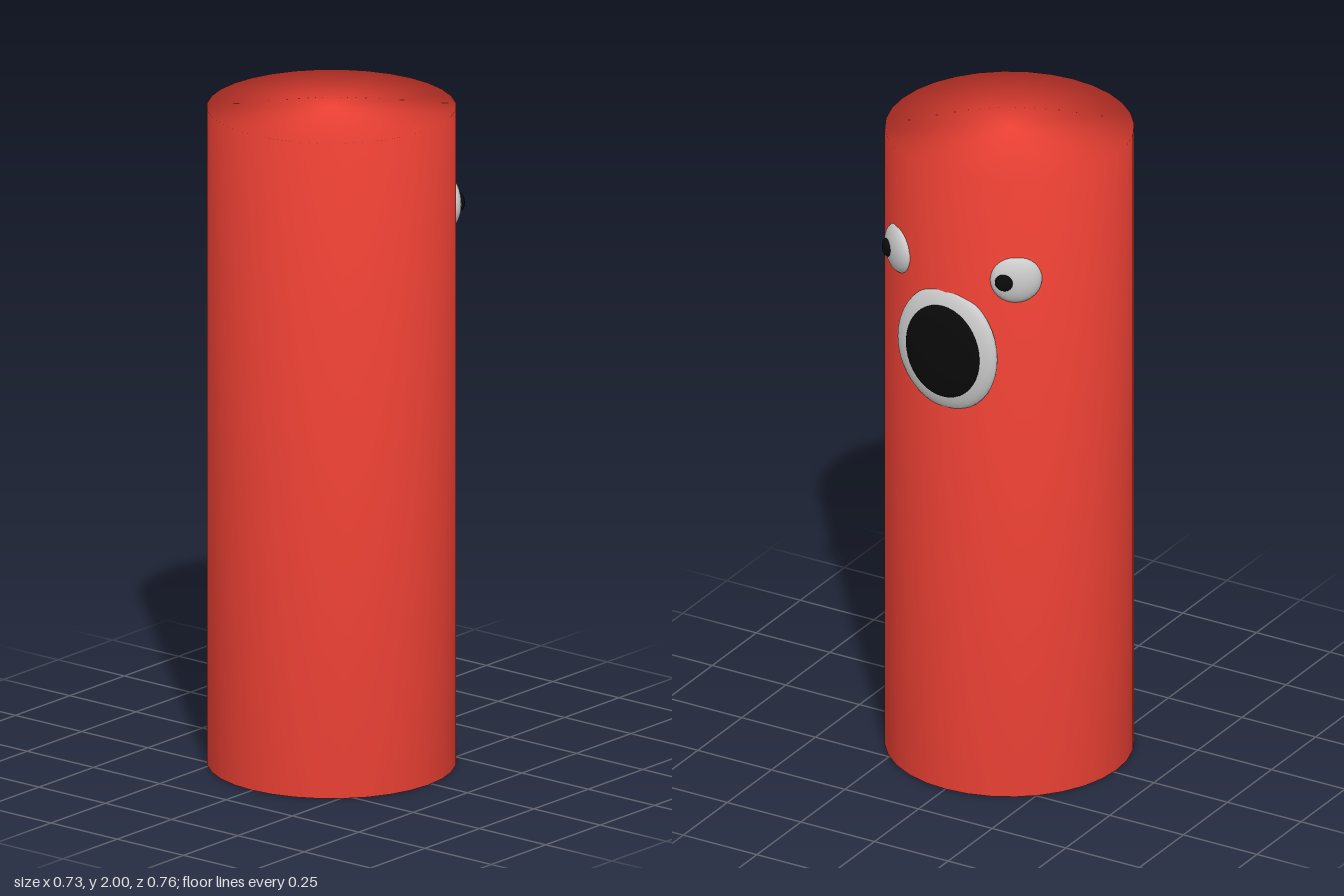
import * as THREE from 'three';
import { mergeVertices } from 'three/addons/utils/BufferGeometryUtils.js';

const RED = 0xf44336, WHITE = 0xcccccc, BLACK = 0x0a0a0a;
const AXIS_Z = 0.016; // the body axis sits slightly forward of the centre
const deg = THREE.MathUtils.degToRad;

function part(name, geometry, color) {
  const mesh = new THREE.Mesh(geometry, new THREE.MeshStandardMaterial({ color }));
  mesh.name = name;
  return mesh;
}

// Flattened ball on the back of the body. Angle is measured from -z towards +x,
// radius from the body axis; facing is the direction its flat side looks.
function disc(name, color, angle, radius, y, size, facing = angle) {
  const mesh = part(name, new THREE.SphereGeometry(1, 32, 20), color);
  const a = deg(angle);
  mesh.scale.set(...size);
  mesh.position.set(radius * Math.sin(a), y, AXIS_Z - radius * Math.cos(a));
  mesh.rotation.y = Math.PI - deg(facing);
  return mesh;
}

export function createModel() {
  const model = new THREE.Group();
  model.name = 'cylinderCharacter';

  // Body: one closed cylinder with normals shared over the rims
  let tube = new THREE.CylinderGeometry(0.364, 0.364, 2, 32);
  tube.deleteAttribute('normal');
  tube.deleteAttribute('uv');
  tube = mergeVertices(tube);
  tube.computeVertexNormals();
  const body = part('body', tube, RED);
  body.position.set(0, 1, AXIS_Z);
  model.add(body);

  // Mouth: pale lips with a dark opening
  const mouth = new THREE.Group();
  mouth.name = 'mouth';
  mouth.add(
    disc('lips', WHITE, 0, 0.351, 1.43, [0.168, 0.195, 0.042]),
    disc('mouthOpening', BLACK, 0, 0.379, 1.43, [0.125, 0.147, 0.018])
  );
  model.add(mouth);

  // Eyes: mirrored whites, both pupils glancing towards +x
  const eyes = [
    { name: 'leftEye', angle: 34, pupil: 36.7, radius: 0.386, facing: 39 },
    { name: 'rightEye', angle: -34, pupil: -28.5, radius: 0.381, facing: -22 }
  ];
  for (const { name, angle, pupil, radius, facing } of eyes) {
    const eye = new THREE.Group();
    eye.name = name;
    eye.add(
      disc('eyeWhite', WHITE, angle, 0.355, 1.68, [0.076, 0.075, 0.033]),
      disc('pupil', BLACK, pupil, radius, 1.68, [0.027, 0.027, 0.013], facing)
    );
    model.add(eye);
  }
  return model;
}
